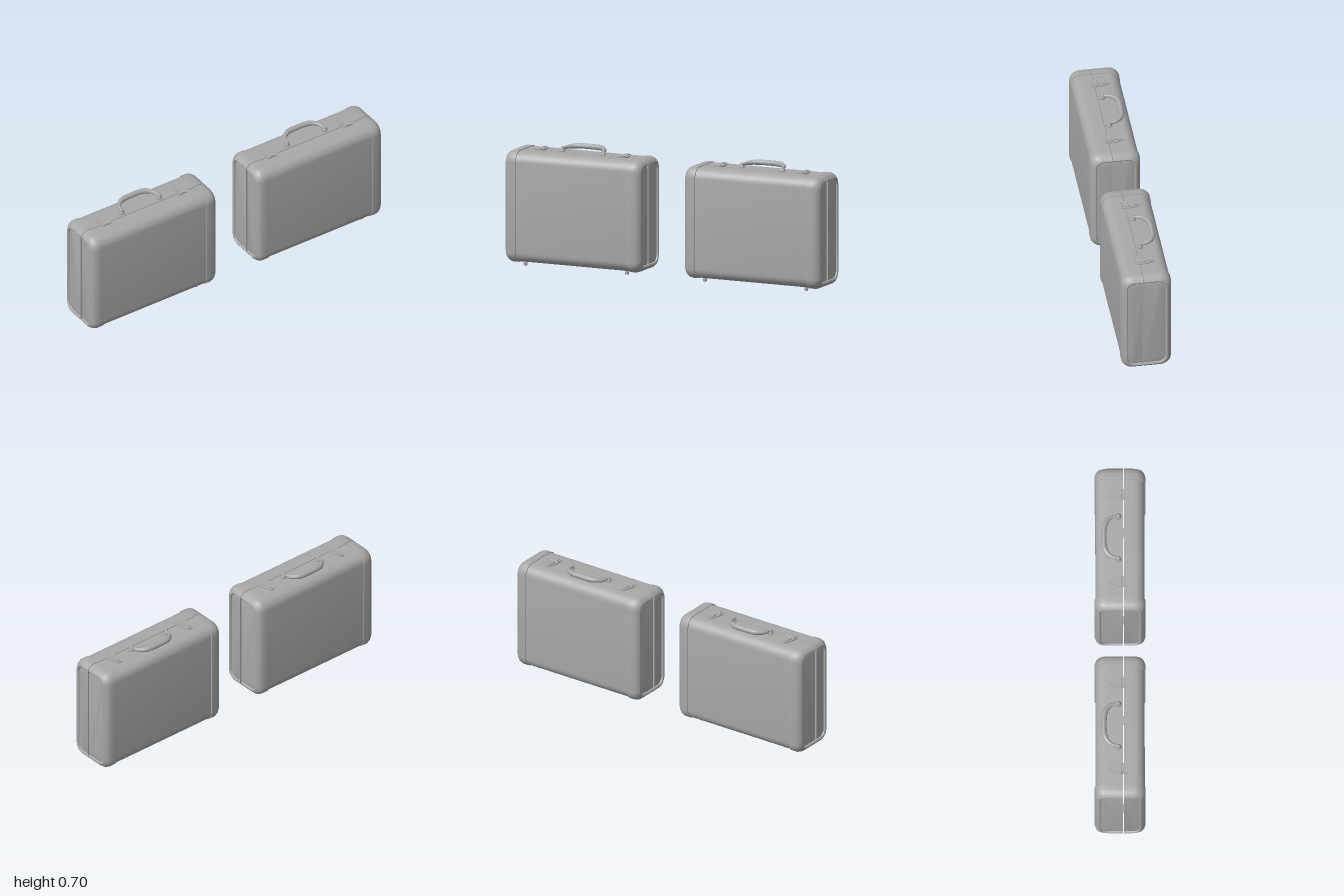
import * as THREE from 'three';
import { toCreasedNormals } from 'three/addons/utils/BufferGeometryUtils.js';

const grey = new THREE.MeshStandardMaterial({ color: 0xa8a8a8 });
grey.name = 'grey';

function add(parent, name, geo, x = 0, y = 0, z = 0) {
  const mesh = new THREE.Mesh(geo, grey);
  mesh.name = name;
  mesh.position.set(x, y, z);
  parent.add(mesh);
  return mesh;
}

// Half of the rounded case section as [y, z]; s = 1 front, -1 back
function section(inset, s) {
  const seam = 0.02 + s * 0.002, zo = 0.145 - inset;
  const top = 0.67 - inset, bottom = 0.021 + inset, r = 0.062 - inset * 0.55;
  const pts = [[top, seam]], n = 7;
  for (const [yc, start] of [[top - r, 0], [bottom + r, Math.PI / 2]]) {
    for (let i = 0; i <= n; i++) {
      const a = start + (i / n) * Math.PI / 2;
      pts.push([yc + r * Math.cos(a), s * (zo - r + r * Math.sin(a))]);
    }
  }
  pts.push([bottom, seam]);
  return s > 0 ? pts : pts.reverse();
}

// Closed loft along x through stations [x, inset]
function loft(stations, s) {
  const pos = [], idx = [];
  const loops = stations.map(([, inset]) => section(inset, s));
  const n = loops[0].length;
  loops.forEach((loop, i) => loop.forEach(([y, z]) => pos.push(stations[i][0], y, z)));
  for (let i = 0; i < loops.length - 1; i++) {
    for (let j = 0; j < n; j++) {
      const a = i * n + j, b = i * n + (j + 1) % n;
      idx.push(a, b, a + n, b, b + n, a + n);
    }
  }
  const last = (loops.length - 1) * n;
  for (let j = 1; j < n - 1; j++) {
    idx.push(0, j + 1, j);
    idx.push(last, last + j, last + j + 1);
  }
  const geo = new THREE.BufferGeometry();
  geo.setAttribute('position', new THREE.Float32BufferAttribute(pos, 3));
  geo.setIndex(idx);
  return toCreasedNormals(geo, 0.7);
}

const mirrored = (stations) => stations.map(([x, i]) => [-x, i]).reverse();

const capStations = [[0.355, 0.004], [0.356, 0], [0.39, 0], [0.41, 0.006],
  [0.424, 0.017], [0.43, 0.028], [0.427, 0.035], [0.418, 0.037]];
const panelStations = [[0.4, 0.037], [0.42, 0.038], [0.424, 0.055]];

// Curved grip, thin at the posts and thick in the middle
function gripGeometry() {
  const path = new THREE.CatmullRomCurve3([
    [-0.128, 0.684, -0.01], [-0.118, 0.686, -0.05], [-0.078, 0.69, -0.084], [0, 0.691, -0.092],
    [0.078, 0.69, -0.084], [0.118, 0.686, -0.05], [0.128, 0.684, -0.01],
  ].map((p) => new THREE.Vector3(...p)));
  const n = 40, m = 12;
  const geo = new THREE.TubeGeometry(path, n, 0.016, m);
  const pos = geo.attributes.position, v = new THREE.Vector3();
  for (let i = 0; i <= n; i++) {
    const c = path.getPointAt(i / n);
    const f = 0.4 + 0.6 * Math.min(1, Math.sin(Math.PI * i / n) * 1.3);
    for (let j = 0; j <= m; j++) {
      const k = i * (m + 1) + j;
      v.fromBufferAttribute(pos, k).sub(c).multiplyScalar(f).add(c);
      pos.setXYZ(k, v.x, v.y, v.z);
    }
  }
  geo.computeVertexNormals();
  return geo;
}

// Flat plate lying on the lid; outline given as half-width against z
function plateGeometry(half, height) {
  const pts = half.map(([w, z]) => new THREE.Vector2(w, -z));
  const left = half.map(([w, z]) => new THREE.Vector2(-w, -z)).reverse();
  const geo = new THREE.ExtrudeGeometry(new THREE.Shape([...pts, ...left]), {
    depth: height, bevelEnabled: false,
  });
  return geo.rotateX(-Math.PI / 2);
}

function latch() {
  const g = new THREE.Group();
  g.name = 'latch';
  add(g, 'latchPlate', plateGeometry([[0.028, 0.042], [0.033, 0.025], [0.033, -0.015],
    [0.024, -0.04], [0.012, -0.068]], 0.006), 0, 0.669, 0);
  add(g, 'latchHasp', plateGeometry([[0.016, 0.04], [0.02, 0.02], [0.014, -0.02],
    [0.009, -0.055]], 0.006), 0, 0.673, 0);
  const pin = new THREE.CylinderGeometry(0.007, 0.007, 0.054, 10).rotateZ(Math.PI / 2);
  add(g, 'latchPin', pin, 0, 0.674, 0.006);
  return g;
}

function briefcase() {
  const g = new THREE.Group();
  g.name = 'briefcase';
  // Front and back shells with their end caps and recessed end panels
  for (const s of [1, -1]) {
    const side = s > 0 ? 'front' : 'back';
    add(g, side + 'Shell', loft([[-0.358, 0.004], [0.358, 0.004]], s));
    add(g, side + 'LeftCap', loft(capStations, s));
    add(g, side + 'RightCap', loft(mirrored(capStations), s));
    add(g, side + 'LeftPanel', loft(panelStations, s));
    add(g, side + 'RightPanel', loft(mirrored(panelStations), s));
  }
  // Handle
  const handle = new THREE.Group();
  handle.name = 'handle';
  g.add(handle);
  add(handle, 'grip', gripGeometry());
  for (const x of [-0.13, 0.13]) {
    const post = [[0, -0.004], [0.017, -0.004], [0.016, 0.006], [0.01, 0.012], [0.01, 0.022],
      [0.006, 0.028], [0, 0.03]].map((p) => new THREE.Vector2(...p));
    add(handle, 'handlePost', new THREE.LatheGeometry(post, 14), x, 0.667, -0.008);
  }
  // Latches, hinges and feet
  const foot = [[0, 0], [0.008, 0.001], [0.011, 0.005], [0.013, 0.03], [0, 0.03]]
    .map((p) => new THREE.Vector2(...p));
  for (const s of [-1, 1]) {
    const l = latch();
    l.position.x = s * 0.263;
    g.add(l);
    add(g, 'hinge', new THREE.CylinderGeometry(0.006, 0.006, 0.05, 10).rotateZ(Math.PI / 2),
      s * 0.265, 0.021, 0.02);
    add(g, 'hingePlate', new THREE.BoxGeometry(0.036, 0.006, 0.036), s * 0.265, 0.024, 0.02);
    for (const z of [0.079, -0.058]) {
      add(g, 'foot', new THREE.LatheGeometry(foot, 12), s * 0.322, 0.002, z);
    }
  }
  return g;
}

export function createModel() {
  const model = new THREE.Group();
  model.name = 'briefcases';
  for (const x of [-0.57, 0.57]) {
    const b = briefcase();
    b.position.x = x;
    model.add(b);
  }
  return model;
}
